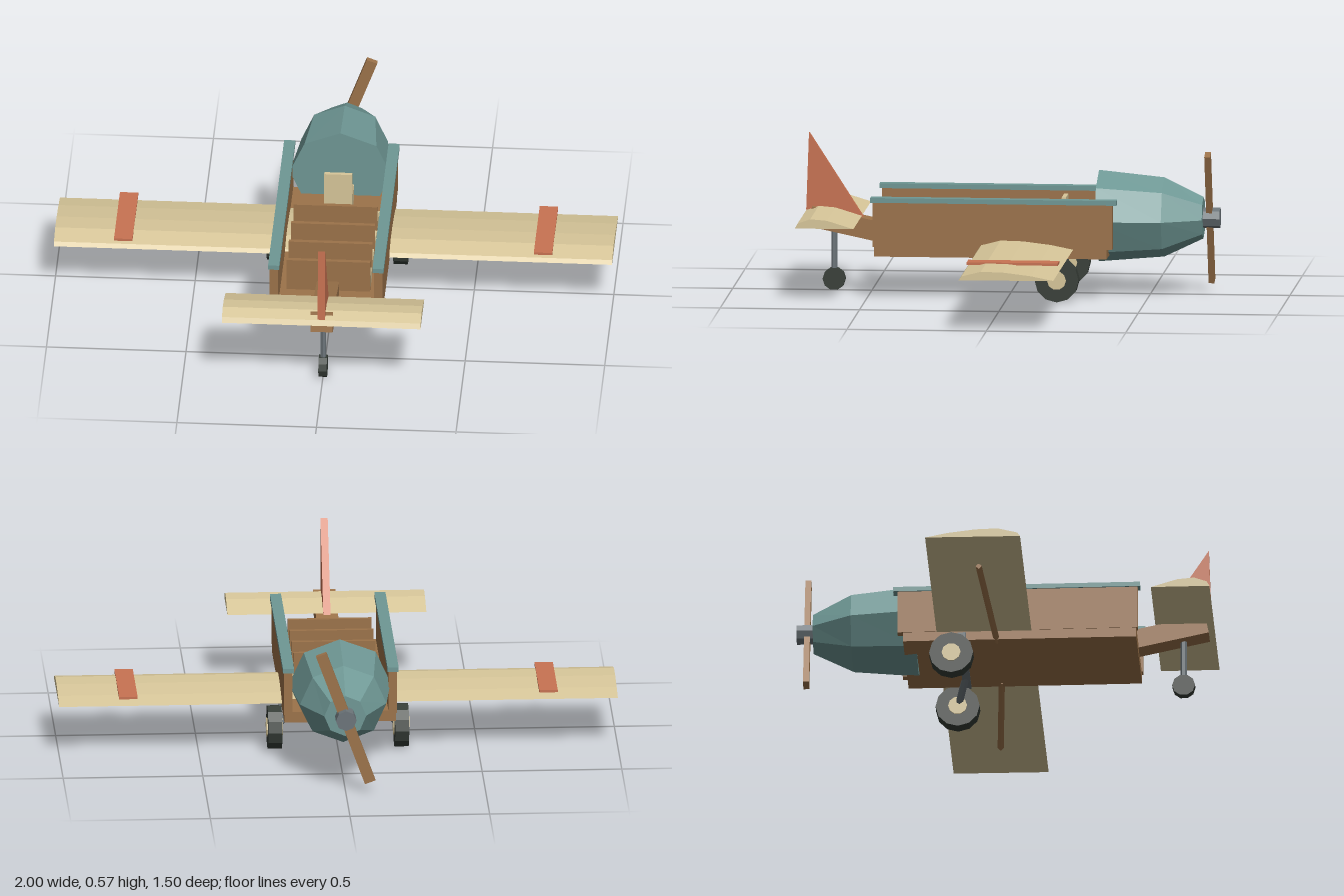
import * as THREE from 'three';

const mat = (name, color) => Object.assign(new THREE.MeshStandardMaterial({ color }), { name });

export function createModel() {
  const wood = mat('wood', 0x9c734a);
  const canvas = mat('canvas', 0xd8c79a);
  const teal = mat('teal paint', 0x6f9895);
  const red = mat('red paint', 0xc97352);
  const rubber = mat('rubber', 0x363d37);
  const steel = mat('steel', 0x6c757a);

  const plane = new THREE.Group();
  plane.name = 'plane';

  // Faceted mesh
  function add(name, geometry, material, x = 0, y = 0, z = 0) {
    const flat = geometry.index ? geometry.toNonIndexed() : geometry;
    flat.computeVertexNormals();
    const mesh = new THREE.Mesh(flat, material);
    mesh.name = name;
    mesh.position.set(x, y, z);
    plane.add(mesh);
    return mesh;
  }
  // Box given by its limits on each axis
  const box = (name, material, [x0, x1], [y0, y1], [z0, z1]) =>
    add(name, new THREE.BoxGeometry(x1 - x0, y1 - y0, z1 - z0), material,
      (x0 + x1) / 2, (y0 + y1) / 2, (z0 + z1) / 2);
  // Side profile of [z, y] points extruded across x
  function slab(name, material, points, width) {
    const shape = new THREE.Shape(points.map(([z, y]) => new THREE.Vector2(z, y)));
    const geometry = new THREE.ExtrudeGeometry(shape, { depth: width, bevelEnabled: false });
    geometry.rotateY(-Math.PI / 2).translate(width / 2, 0, 0);
    return add(name, geometry, material);
  }
  // Square or round bar between two points
  function bar(name, material, from, to, radius, sides) {
    const a = new THREE.Vector3(...from), b = new THREE.Vector3(...to);
    const mesh = add(name, new THREE.CylinderGeometry(radius, radius, a.distanceTo(b), sides), material);
    mesh.position.copy(a).add(b).multiplyScalar(0.5);
    mesh.quaternion.setFromUnitVectors(new THREE.Vector3(0, 1, 0), b.sub(a).normalize());
    return mesh;
  }
  // Disc with its axle along x
  const disc = (name, material, radius, width, sides, x, y, z) =>
    add(name, new THREE.CylinderGeometry(radius, radius, width, sides).rotateZ(Math.PI / 2), material, x, y, z);

  // Open body
  box('floor', wood, [-0.2, 0.2], [0.15, 0.19], [-0.36, 0.475]);
  for (const s of [-1, 1]) {
    const span = (a, b) => (s > 0 ? [a, b] : [-b, -a]);
    box('sideWall', wood, span(0.172, 0.202), [0.185, 0.345], [-0.38, 0.48]);
    box('rail', teal, span(0.167, 0.207), [0.345, 0.362], [-0.395, 0.488]);
  }

  // Octagonal nose cowl: [z, half width, half height, centre height]
  const rings = [[-0.69, 0.075, 0.075, 0.277], [-0.55, 0.155, 0.143, 0.278], [-0.315, 0.182, 0.165, 0.28]];
  const cowl = new THREE.CylinderGeometry(1, 1, 2, 8, 2).rotateX(-Math.PI / 2);
  const p = cowl.attributes.position;
  for (let i = 0; i < p.count; i++) {
    const [z, rx, ry, cy] = rings[Math.round(p.getZ(i)) + 1];
    p.setXYZ(i, p.getX(i) * rx, cy + p.getY(i) * ry, z);
  }
  add('cowl', cowl, teal);

  // Propeller
  const blades = box('propeller', wood, [-0.02, 0.02], [0.022, 0.532], [-0.723, -0.702]);
  blades.rotation.z = -0.35;
  add('propellerHub', new THREE.CylinderGeometry(0.037, 0.037, 0.06, 8).rotateX(Math.PI / 2), steel, 0, 0.277, -0.72);

  // Wing with painted bands and braces
  slab('wing', canvas, [[0.1, 0.182], [0.09, 0.196], [0.02, 0.214], [-0.06, 0.212], [-0.16, 0.2], [-0.24, 0.184]], 2);
  for (const s of [-1, 1]) {
    const x = s * 0.752;
    box('wingBand', red, [x - 0.033, x + 0.033], [0.208, 0.217], [-0.237, 0.09]);
    bar('wingBrace', wood, [s * 0.17, 0.156, -0.025], [s * 0.77, 0.174, -0.06], 0.011, 4);
  }

  // Passenger benches
  for (let i = 0; i < 4; i++) {
    const z = -0.125 + i * 0.13;
    box('benchCushion', canvas, [-0.15, 0.15], [0.19, 0.235], [z, z + 0.077]);
    box('benchBack', wood, [-0.15, 0.15], [0.19, 0.31], [z + 0.077, z + 0.093]);
  }

  // Pilot seat
  box('pilotCushion', canvas, [-0.05, 0.05], [0.19, 0.25], [-0.29, -0.2]);
  box('pilotBack', canvas, [-0.05, 0.05], [0.19, 0.35], [-0.2, -0.185]);

  // Tail
  const boom = box('tailBoom', wood, [-0.04, 0.04], [0.196, 0.268], [0.367, 0.723]);
  boom.rotation.x = -0.21;
  slab('tailplane', canvas, [[0.745, 0.27], [0.735, 0.288], [0.69, 0.304], [0.63, 0.299], [0.535, 0.27]], 0.712);
  slab('fin', red, [[0.725, 0.568], [0.735, 0.29], [0.7, 0.28], [0.53, 0.265]], 0.026);

  // Main wheels
  box('wheelMount', steel, [-0.21, 0.21], [0.148, 0.176], [-0.165, -0.135]);
  for (const s of [-1, 1]) {
    bar('wheelLeg', steel, [s * 0.13, 0.165, -0.15], [s * 0.222, 0.08, -0.185], 0.014, 6);
    disc('wheel', rubber, 0.079, 0.05, 12, s * 0.227, 0.079, -0.185);
    disc('wheelHub', canvas, 0.034, 0.058, 10, s * 0.227, 0.079, -0.185);
  }

  // Tail wheel
  bar('tailLeg', steel, [0, 0.045, 0.635], [0, 0.24, 0.635], 0.011, 6);
  disc('tailWheel', rubber, 0.041, 0.03, 10, 0, 0.041, 0.635);

  return plane;
}
